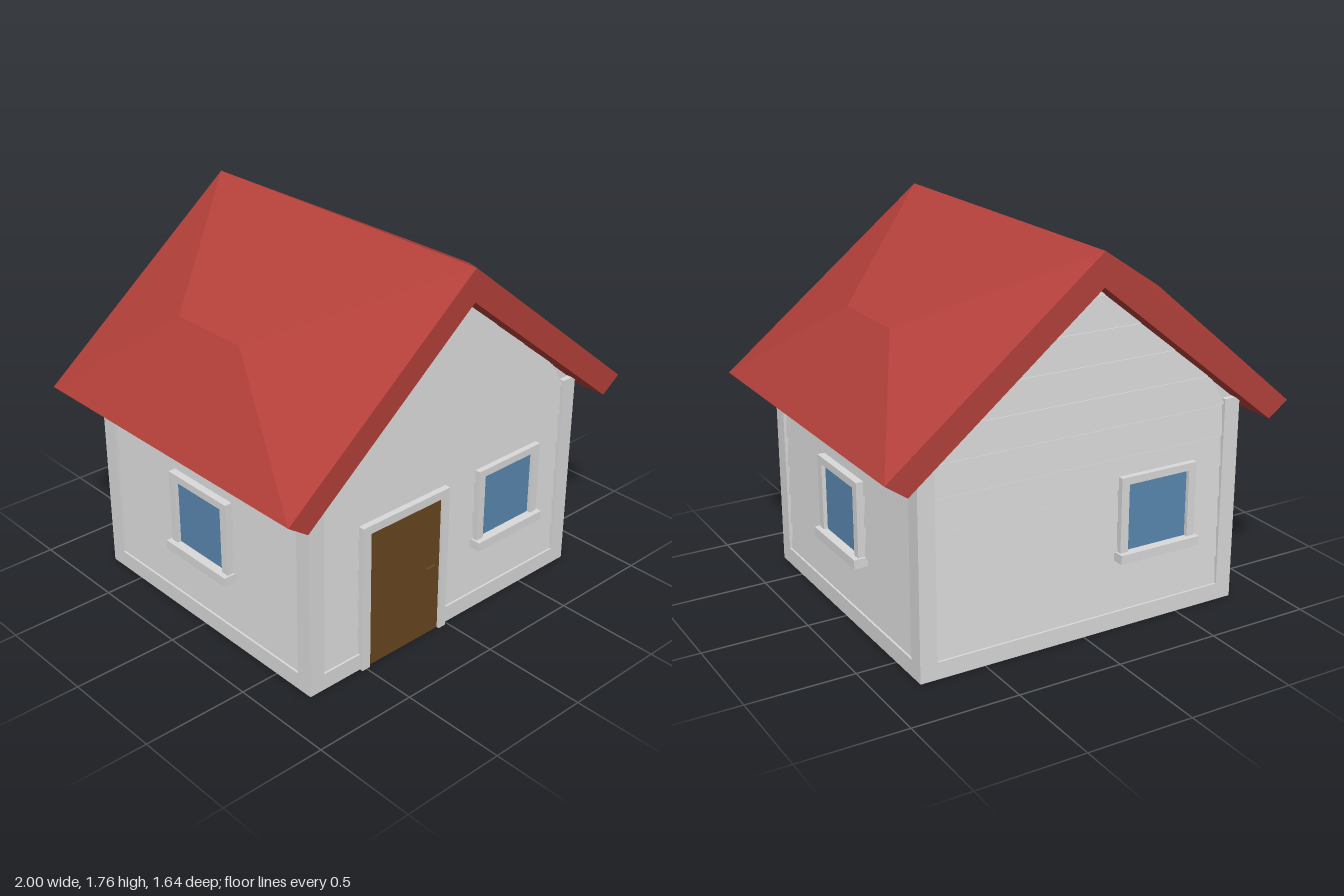
import * as THREE from 'three';

const mat = (name, color) => {
  const m = new THREE.MeshStandardMaterial({ color });
  m.name = name;
  return m;
};

export function createModel() {
  const white = mat('white paint', 0xdadada);
  const red = mat('red roof', 0xb4403a);
  const blue = mat('blue glass', 0x5b89b2);
  const brown = mat('brown door', 0x694620);

  const model = new THREE.Group();
  model.name = 'house';

  const add = (parent, name, geometry, material) => {
    const mesh = new THREE.Mesh(geometry, material);
    mesh.name = name;
    parent.add(mesh);
    return mesh;
  };
  // Box given by its limits
  const box = (parent, name, material, x0, x1, y0, y1, z0, z1) => {
    const g = new THREE.BoxGeometry(x1 - x0, y1 - y0, z1 - z0);
    g.translate((x0 + x1) / 2, (y0 + y1) / 2, (z0 + z1) / 2);
    return add(parent, name, g, material);
  };
  const polygon = (points) => new THREE.Shape(points.map(([x, y]) => new THREE.Vector2(x, y)));

  // Solid core behind the siding
  const core = new THREE.ExtrudeGeometry(
    polygon([[-0.785, 0], [0.785, 0], [0.785, 0.98], [0, 1.61], [-0.785, 0.98]]),
    { depth: 1.39, bevelEnabled: false });
  core.translate(0, 0, -0.695);
  add(model, 'wallCore', core, white);

  // Base boards and corner posts
  box(model, 'baseBoard', white, -0.81, 0.81, 0, 0.08, -0.72, 0.72);
  for (const sx of [-1, 1]) for (const sz of [-1, 1]) {
    const post = box(model, 'cornerPost', white, -0.04, 0.04, 0, 0.98, -0.04, 0.04);
    post.position.set(sx * 0.77, 0, sz * 0.68);
  }

  // One wall's lapped planks: each leans out towards its lower edge
  const siding = (halfWidth, top, face) => {
    const wall = new THREE.Group();
    wall.name = 'siding';
    const pitch = 0.1475;
    for (let y0 = 0.07; y0 < top - 0.02; y0 += pitch) {
      const y1 = Math.min(y0 + pitch - 0.006, top);
      const a = halfWidth(y0), b = halfWidth(y1);
      const g = new THREE.ExtrudeGeometry(
        polygon([[-a, y0], [a, y0], [b, y1], [-b, y1]]), { depth: 1, bevelEnabled: false });
      const p = g.attributes.position;
      for (let i = 0; i < p.count; i++) {
        const lean = p.getY(i) < (y0 + y1) / 2 ? 0 : -0.011;
        p.setZ(i, p.getZ(i) > 0.5 ? face + lean : face - 0.03);
      }
      g.computeVertexNormals();
      add(wall, 'plank', g, white);
    }
    model.add(wall);
    return wall;
  };
  const gable = (y) => Math.max(0.004, Math.min(0.735, (1.62 - y) / 0.8));
  siding(gable, 1.61, 0.711);
  siding(gable, 1.61, 0.711).rotation.y = Math.PI;
  siding(() => 0.645, 0.97, 0.801).rotation.y = Math.PI / 2;
  siding(() => 0.645, 0.97, 0.801).rotation.y = -Math.PI / 2;

  // Window facing +z, centred on x; face is the depth of the wall
  const windowUnit = (name, cx, face, angle) => {
    const w = new THREE.Group();
    w.name = name;
    box(w, 'glass', blue, cx - 0.17, cx + 0.17, 0.36, 0.69, face - 0.004, face + 0.004);
    for (const s of [-1, 1]) {
      const x = cx + s * 0.18;
      box(w, 'sideTrim', white, x - 0.02, x + 0.02, 0.365, 0.72, face - 0.03, face + 0.023);
    }
    box(w, 'topTrim', white, cx - 0.2, cx + 0.2, 0.685, 0.72, face - 0.03, face + 0.023);
    box(w, 'sill', white, cx - 0.21, cx + 0.21, 0.325, 0.368, face - 0.03, face + 0.048);
    w.rotation.y = angle;
    model.add(w);
  };
  windowUnit('frontWindow', 0.375, 0.711, 0);
  windowUnit('backWindow', 0.375, 0.711, Math.PI);
  windowUnit('leftWindow', -0.005, 0.809, Math.PI / 2);
  windowUnit('rightWindow', 0.005, 0.809, -Math.PI / 2);

  // Door with frame and square handle
  const door = new THREE.Group();
  door.name = 'door';
  box(door, 'doorPanel', brown, -0.49, -0.05, 0, 0.69, 0.69, 0.723);
  box(door, 'doorHandle', brown, -0.14, -0.085, 0.3, 0.352, 0.72, 0.736);
  box(door, 'leftFrame', white, -0.055, -0.015, 0, 0.72, 0.69, 0.736);
  box(door, 'rightFrame', white, -0.525, -0.48, 0, 0.72, 0.69, 0.736);
  box(door, 'topFrame', white, -0.525, -0.015, 0.68, 0.72, 0.69, 0.736);
  model.add(door);

  // Thick roof slope that bulges outwards to a short raised edge
  const roofSlope = (s) => {
    const ridge = (z) => [0, 1.76, z], eave = (z) => [1, 0.96, z];
    const lip = (z) => [0.9, 0.89, z], apex = (z) => [0, 1.61, z];
    const F = 0.82, B = -0.82;
    const bulgeF = [0.685, 1.4, 0.15], bulgeB = [0.685, 1.4, -0.26];
    const faces = [
      [ridge(F), bulgeF, bulgeB, ridge(B)],
      [bulgeF, eave(F), eave(B), bulgeB],
      [ridge(F), eave(F), bulgeF],
      [ridge(B), bulgeB, eave(B)],
      [eave(F), lip(F), lip(B), eave(B)],
      [lip(F), apex(F), apex(B), lip(B)],
      [ridge(F), apex(F), lip(F), eave(F)],
      [ridge(B), eave(B), lip(B), apex(B)],
    ];
    const points = [];
    for (const f of faces) for (let i = 1; i < f.length - 1; i++) {
      const tri = s > 0 ? [f[0], f[i], f[i + 1]] : [f[0], f[i + 1], f[i]];
      for (const [x, y, z] of tri) points.push(s * x, y, z);
    }
    const g = new THREE.BufferGeometry();
    g.setAttribute('position', new THREE.Float32BufferAttribute(points, 3));
    g.computeVertexNormals();
    return g;
  };
  add(model, 'leftRoof', roofSlope(1), red);
  add(model, 'rightRoof', roofSlope(-1), red);

  return model;
}
